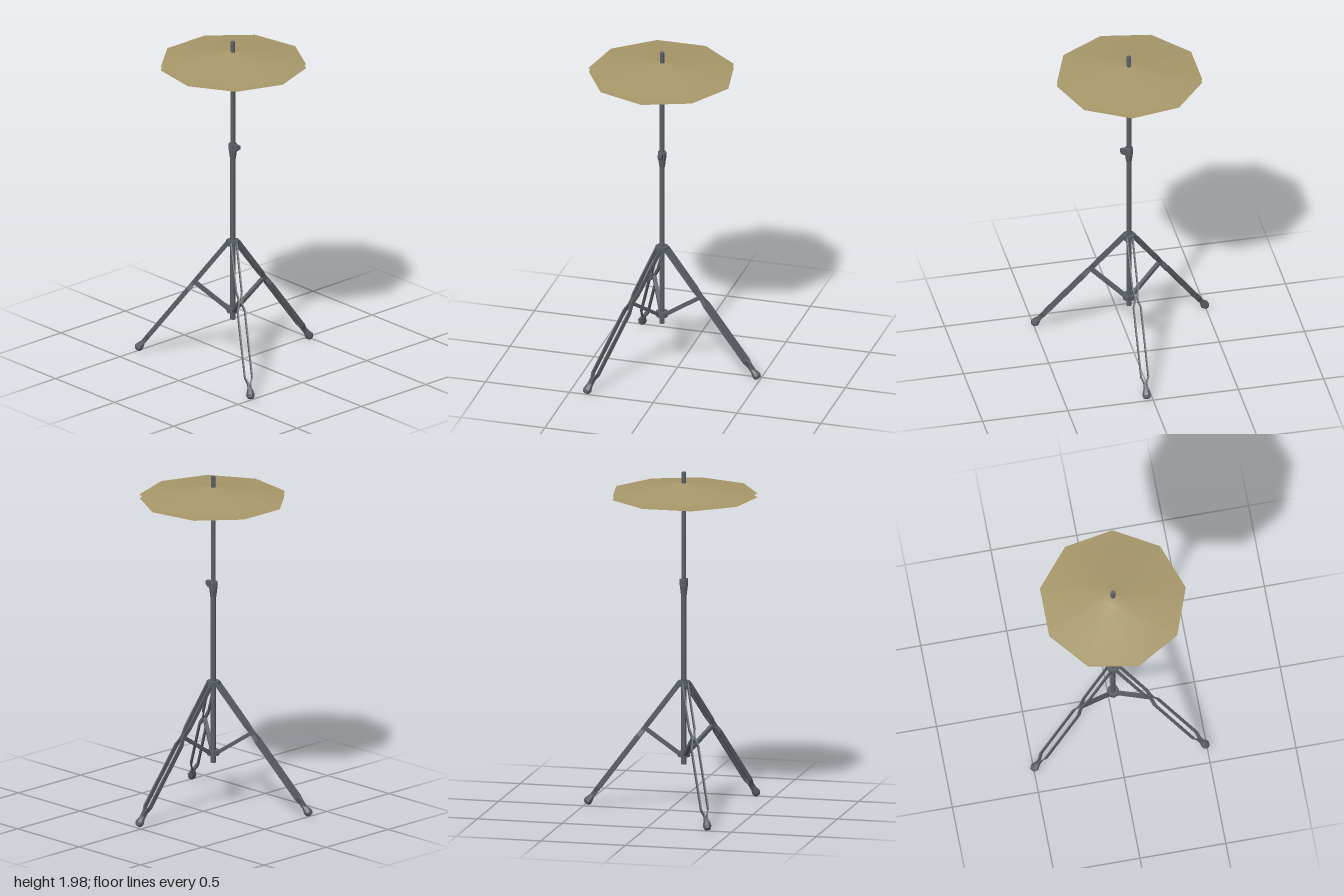
import * as THREE from 'three';

const metal = new THREE.MeshStandardMaterial({ color: 0x596066, flatShading: true });
const brass = new THREE.MeshStandardMaterial({ color: 0xa8986a });

function part(name, geometry, parent, x = 0, y = 0, z = 0, material = metal) {
  const mesh = new THREE.Mesh(geometry, material);
  mesh.name = name;
  mesh.position.set(x, y, z);
  parent.add(mesh);
  return mesh;
}

// Upright tube between two heights
function post(name, parent, y0, y1, rBottom, rTop = rBottom, sides = 8) {
  return part(name, new THREE.CylinderGeometry(rTop, rBottom, y1 - y0, sides), parent, 0, (y0 + y1) / 2);
}

// Nine-sided cymbal with a raised bell; its rim lies at y = 0
function cymbal(name) {
  const group = new THREE.Group();
  group.name = name;
  const radius = 0.423;
  const profile = [[radius, 0], [0.1, 0.036], [0.055, 0.053], [0, 0.055]].map(p => new THREE.Vector2(...p));
  part('cymbalBow', new THREE.LatheGeometry(profile, 9, Math.PI / 2), group, 0, 0, 0, brass);
  const face = part('cymbalFace', new THREE.CircleGeometry(radius, 9), group, 0, 0, 0, brass);
  face.rotation.x = Math.PI / 2;
  return group;
}

// Flat bar running along +x, bent sideways at each [distance, offset]
function bentBar(path, side, halfWidth, depth) {
  const outer = path.map(([s, o]) => new THREE.Vector2(s, side * o + halfWidth));
  const inner = path.map(([s, o]) => new THREE.Vector2(s, side * o - halfWidth)).reverse();
  const geometry = new THREE.ExtrudeGeometry(new THREE.Shape([...outer, ...inner]), { depth, bevelEnabled: false });
  geometry.translate(0, 0, -depth / 2);
  geometry.rotateX(Math.PI / 2);
  return geometry;
}

// One leg pointing along +x from the pole
function createLeg() {
  const leg = new THREE.Group();
  leg.name = 'leg';
  const top = new THREE.Vector2(0.025, 0.765), end = new THREE.Vector2(0.55, 0.07);
  const slope = Math.atan2(end.y - top.y, end.x - top.x);

  // Sloping part: two bars pinched at the brace and at the foot
  const shank = new THREE.Group();
  shank.name = 'legShank';
  shank.position.set(top.x, top.y, 0);
  shank.rotation.z = slope;
  leg.add(shank);
  const path = [[0, 0.017], [0.29, 0.016], [0.33, 0.008], [0.36, 0.008],
    [0.4, 0.021], [0.8, 0.021], [0.835, 0.007], [0.875, 0.007]];
  for (const side of [-1, 1]) part('legBar', bentBar(path, side, 0.004, 0.026), shank);

  // Egg-shaped rubber foot
  const egg = [[0, 0], [0.013, 0], [0.021, 0.025], [0.026, 0.045], [0.019, 0.062], [0, 0.068]]
    .map(p => new THREE.Vector2(...p));
  const foot = part('rubberFoot', new THREE.LatheGeometry(egg, 7), shank, 0.86);
  foot.rotation.z = -Math.PI / 2;

  // Brace from the lower collar to the pinch in the leg
  const a = new THREE.Vector2(0.025, 0.35), b = new THREE.Vector2(0.232, 0.488);
  const brace = part('brace', new THREE.BoxGeometry(a.distanceTo(b), 0.02, 0.022), leg,
    (a.x + b.x) / 2, (a.y + b.y) / 2);
  brace.rotation.z = Math.atan2(b.y - a.y, b.x - a.x);
  return leg;
}

export function createModel() {
  const model = new THREE.Group();
  model.name = 'cymbalStand';
  const stand = new THREE.Group();
  stand.name = 'stand';
  stand.position.set(0.01, 0, 0.09);
  model.add(stand);

  // Pole, collars and top rod
  post('lowerPole', stand, 0.29, 1.32, 0.0155);
  post('upperPole', stand, 1.3, 1.83, 0.014);
  post('topRod', stand, 1.885, 2, 0.0135);
  post('upperCollar', stand, 0.748, 0.778, 0.038);
  post('lowerCollar', stand, 0.335, 0.365, 0.036);

  // Height clamp with its wing
  post('clampSleeve', stand, 1.28, 1.335, 0.017, 0.024);
  post('clampHead', stand, 1.335, 1.372, 0.025);
  const wing = new THREE.Shape([[0.01, 1.33], [0.035, 1.335], [0.05, 1.347], [0.05, 1.37], [0.01, 1.372]]
    .map(p => new THREE.Vector2(...p)));
  part('clampWing', new THREE.ExtrudeGeometry(wing, { depth: 0.024, bevelEnabled: false }), stand, 0, 0, -0.012);

  // Pair of cymbals facing each other
  const upper = cymbal('upperCymbal');
  upper.position.y = 1.881;
  const lower = cymbal('lowerCymbal');
  lower.position.y = 1.858;
  lower.rotation.x = Math.PI;
  stand.add(upper, lower);

  // Three legs, evenly spread
  for (let i = 0; i < 3; i++) {
    const leg = createLeg();
    leg.rotation.y = -THREE.MathUtils.degToRad(32.3 + 120 * i);
    stand.add(leg);
  }
  return model;
}
